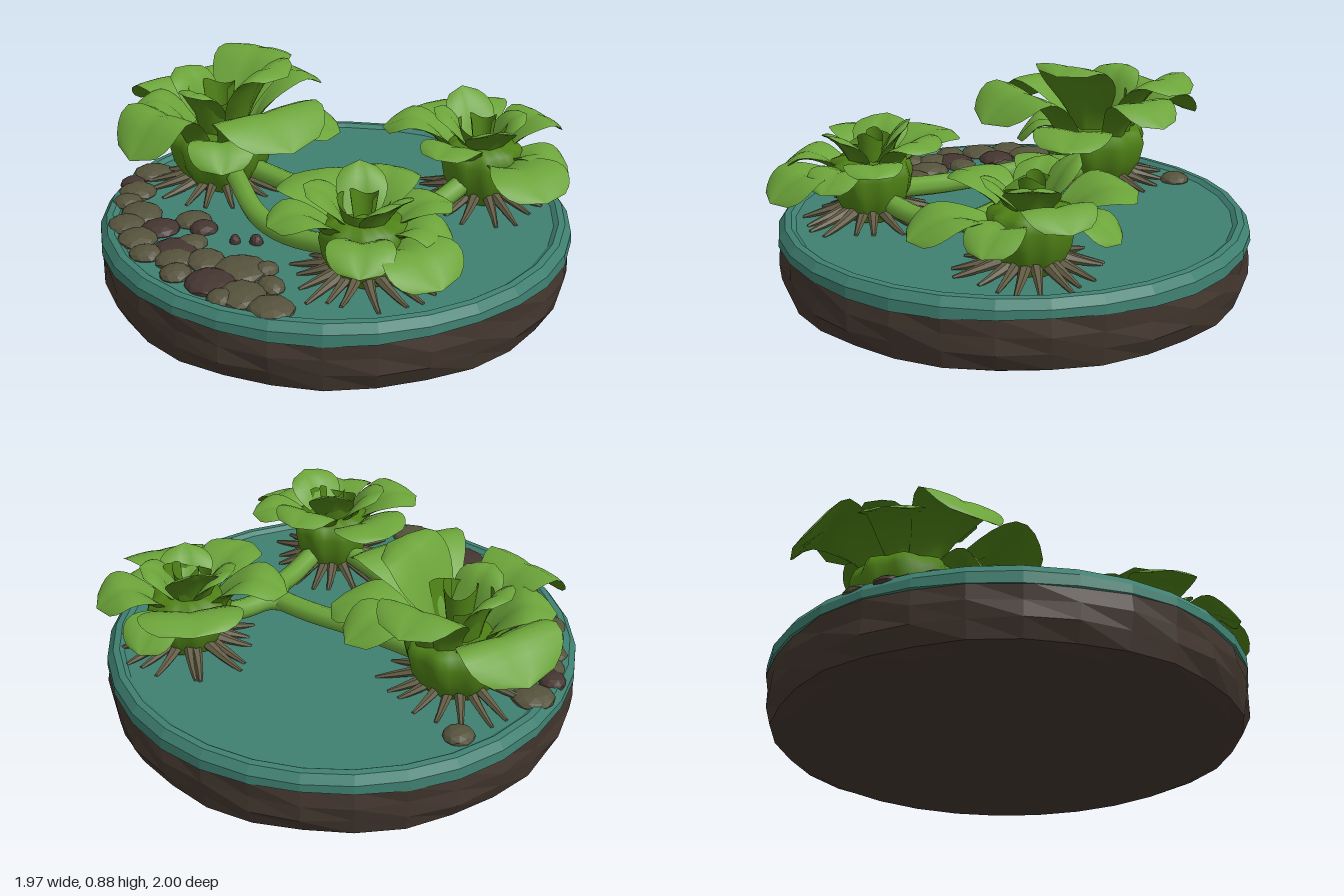
import * as THREE from 'three';

const mat = (name, color, extra = {}) => {
  const m = new THREE.MeshStandardMaterial({ color, ...extra });
  m.name = name;
  return m;
};

export function createModel() {
  const root = new THREE.Group();
  root.name = 'pondPlants';
  const leafMat = mat('leafGreen', 0x6ca43a);
  const stemMat = mat('stemGreen', 0x4f8216, { side: THREE.DoubleSide });
  const waterMat = mat('waterTeal', 0x3f8071, { flatShading: true });
  const soilMat = mat('soilBrown', 0x43372f, { flatShading: true });
  const rootMat = mat('rootOlive', 0x625c44, { flatShading: true });
  const pebbleMat = mat('pebbleOlive', 0x55523c, { flatShading: true });
  const darkMat = mat('pebbleBrown', 0x443530, { flatShading: true });

  let seed = 7;
  const rnd = () => (seed = (seed * 16807) % 2147483647) / 2147483647;
  const add = (parent, name, geo, material) => {
    const m = new THREE.Mesh(geo, material);
    m.name = name;
    parent.add(m);
    return m;
  };
  const lathe = (pts, n) => new THREE.LatheGeometry(pts.map(p => new THREE.Vector2(...p)), n);

  // Move every vertex of a geometry by a rule
  const warp = (geo, rule) => {
    const p = geo.attributes.position, v = new THREE.Vector3();
    for (let i = 0; i < p.count; i++) {
      rule(v.fromBufferAttribute(p, i));
      p.setXYZ(i, v.x, v.y, v.z);
    }
    geo.computeVertexNormals();
    return geo;
  };

  // Round dish: soil below, water with a raised rim above
  const soil = lathe([[0, 0], [0.9, 0], [0.955, 0.025], [0.982, 0.1], [0.985, 0.17], [0.982, 0.245]], 30);
  add(root, 'soil', warp(soil, v => {
    const a = Math.atan2(v.z, v.x), s = 1 + 0.008 * Math.sin(a * 9 + v.y * 30);
    if (v.y > 0.01) { v.x *= s; v.z *= s; }
  }), soilMat);
  const water = lathe([[0.97, 0.235], [0.99, 0.238], [0.988, 0.28], [0.962, 0.315], [0.935, 0.318],
    [0.915, 0.303], [0.6, 0.305], [0.3, 0.308], [0, 0.306]], 30);
  add(root, 'water', warp(water, v => {
    const a = Math.atan2(v.z, v.x);
    if (v.y < 0.245) v.y += 0.008 * Math.sin(a * 5);
  }), waterMat);

  // Leaf: two curved sheets along an arching midrib, light above and darker below
  const leafGeo = (reach, width, yBase, yPeak, yTip, r0) => {
    const mid = new THREE.CatmullRomCurve3([
      new THREE.Vector3(r0, yBase, 0),
      new THREE.Vector3(r0 + (reach - r0) * 0.2, yBase + (yPeak - yBase) * 0.62, 0),
      new THREE.Vector3(r0 + (reach - r0) * 0.58, yPeak, 0),
      new THREE.Vector3(reach, yTip, 0)]);
    const N = 14, M = 10, pos = [], idx = [];
    for (const face of [1, -1]) for (let i = 0; i <= N; i++) {
      const t = i / N, c = mid.getPointAt(t), d = mid.getTangentAt(t);
      const round = t > 0.68 ? Math.sqrt(Math.max(0, 1 - ((t - 0.68) / 0.32) ** 2)) : 1;
      const half = width / 2 * round * (0.42 + 0.58 * THREE.MathUtils.smoothstep(t, 0.2, 0.68));
      for (let j = 0; j <= M; j++) {
        const s = j / M * 2 - 1;
        const cup = s * s * (0.06 * (1 - t) - 0.022 * t * round) - 0.008 * Math.exp(-s * s * 30) * round;
        const lift = cup + face * 0.013 * Math.sqrt(1 - s * s) * round;
        pos.push(c.x - d.y * lift, c.y + d.x * lift, s * half);
      }
    }
    for (let f = 0; f < 2; f++) for (let i = 0; i < N; i++) for (let j = 0; j < M; j++) {
      const a = f * (N + 1) * (M + 1) + i * (M + 1) + j, b = a + 1, c = a + M + 1, d = c + 1;
      idx.push(...(f ? [a, c, b, b, c, d] : [a, b, c, b, d, c]));
    }
    const g = new THREE.BufferGeometry();
    g.setAttribute('position', new THREE.Float32BufferAttribute(pos, 3));
    g.setIndex(idx);
    g.addGroup(0, N * M * 6, 0);
    g.addGroup(N * M * 6, N * M * 6, 1);
    g.computeVertexNormals();
    return g;
  };

  // One rosette plant; leaves are [tip x, tip z, width, peak y, tip y]
  const plant = (name, cx, cz, size, topY, leaves) => {
    const g = new THREE.Group();
    g.name = name;
    g.position.set(cx, 0, cz);
    root.add(g);

    // Ribbed crown and rolled heart leaves
    const crown = lathe([[0.11, 0.31], [0.14, 0.36], [0.17, 0.42], [0.185, 0.5], [0.17, 0.55], [0.1, 0.57], [0, 0.54]]
      .map(([r, y]) => [r * size, y]), 36);
    add(g, 'crown', warp(crown, v => {
      const s = 1 + 0.06 * Math.cos(Math.atan2(v.z, v.x) * 9);
      v.x *= s; v.z *= s;
    }), stemMat);
    [[0.045, 0, 0.02], [0.085, 2.4, 0.05]].forEach(([r, turn, drop]) => {
      const roll = new THREE.CylinderGeometry(r * 1.35 * size, r * size * 0.7, topY - 0.5, 16, 3, true, turn, 4.6);
      const m = add(g, 'heartLeaf', warp(roll, v => {
        v.y += 0.02 * Math.sin(Math.atan2(v.z, v.x) * 2);
      }), stemMat);
      m.position.y = (topY + 0.5) / 2 - drop - 0.02;
    });

    leaves.forEach(([tx, tz, w, yPeak, yTip], i) => {
      const dx = tx - cx, dz = tz - cz, reach = Math.hypot(dx, dz);
      const r0 = Math.min(0.12 * size, reach * 0.25);
      const m = add(g, 'leaf' + (i + 1), leafGeo(reach, w, 0.42, yPeak, yTip, r0), [leafMat, stemMat]);
      m.rotation.y = -Math.atan2(dz, dx);
    });

    // Fan of tapering roots gripping the surface
    const count = 18;
    for (let i = 0; i < count; i++) {
      const len = (0.25 + rnd() * 0.07) * (0.7 + size * 0.3), bend = (rnd() - 0.5) * 0.05;
      const geo = new THREE.CylinderGeometry(0.008, 0.03, 1, 6, 4);
      const m = add(g, 'root', warp(geo, v => {
        const t = v.y + 0.5, h = -v.x;
        v.set(0.07 + (len - 0.07) * t, 0.375 - 0.07 * t ** 0.8 + h, v.z + bend * t * t);
      }), rootMat);
      m.rotation.y = (i + rnd() * 0.4) / count * Math.PI * 2;
    }
  };

  plant('backPlant', -0.25, -0.53, 1.15, 0.8, [
    [-0.28, -1.0, 0.45, 0.7, 0.57], [0.15, -0.76, 0.36, 0.81, 0.77], [0.27, -0.56, 0.28, 0.74, 0.67],
    [0.13, -0.16, 0.34, 0.62, 0.58], [-0.23, 0.04, 0.5, 0.75, 0.64], [-0.75, -0.4, 0.36, 0.72, 0.57],
    [-0.58, -0.72, 0.28, 0.69, 0.65], [-0.08, -0.24, 0.38, 0.87, 0.85], [-0.42, -0.22, 0.28, 0.58, 0.49],
    [-0.35, -0.74, 0.26, 0.78, 0.79], [-0.45, -0.45, 0.22, 0.76, 0.77]]);
  plant('frontPlant', -0.23, 0.55, 0.92, 0.7, [
    [-0.3, 0.15, 0.34, 0.62, 0.61], [0.05, 0.37, 0.28, 0.66, 0.64], [0.11, 0.66, 0.24, 0.6, 0.58],
    [-0.19, 1.0, 0.36, 0.53, 0.44], [-0.46, 0.86, 0.26, 0.57, 0.5], [-0.61, 0.46, 0.28, 0.62, 0.59],
    [-0.02, 0.84, 0.24, 0.56, 0.5], [-0.41, 0.4, 0.24, 0.66, 0.69], [-0.15, 0.4, 0.2, 0.68, 0.73],
    [-0.19, 0.75, 0.24, 0.66, 0.69]]);
  plant('sidePlant', 0.6, 0.22, 0.92, 0.71, [
    [0.73, -0.17, 0.42, 0.62, 0.6], [0.27, -0.05, 0.26, 0.66, 0.61], [0.24, 0.37, 0.26, 0.63, 0.62],
    [0.55, 0.71, 0.35, 0.55, 0.48], [0.82, 0.53, 0.24, 0.54, 0.47], [0.98, 0.25, 0.29, 0.63, 0.57],
    [0.9, 0.0, 0.24, 0.54, 0.47], [0.45, 0.07, 0.22, 0.67, 0.7], [0.63, 0.03, 0.22, 0.69, 0.75],
    [0.77, 0.3, 0.22, 0.66, 0.68], [0.53, 0.4, 0.22, 0.64, 0.68]]);

  // Runners joining the plants
  [[[-0.17, 0.4, -0.4], [-0.05, 0.37, -0.1], [0.09, 0.36, 0.14], [0.16, 0.36, 0.28]],
    [[0.16, 0.36, 0.28], [0.22, 0.365, 0.29], [0.34, 0.37, 0.27], [0.52, 0.42, 0.24]],
    [[0.16, 0.36, 0.28], [0.11, 0.36, 0.38], [0.0, 0.365, 0.45], [-0.15, 0.4, 0.53]],
    [[-0.28, 0.4, -0.35], [-0.35, 0.36, -0.05], [-0.34, 0.36, 0.17], [-0.26, 0.4, 0.45]]].forEach(pts => {
    const path = new THREE.CatmullRomCurve3(pts.map(p => new THREE.Vector3(...p)));
    add(root, 'runner', new THREE.TubeGeometry(path, 14, 0.044, 8), leafMat);
  });
  add(root, 'runnerJoint', new THREE.SphereGeometry(0.05, 10, 8), leafMat).position.set(0.16, 0.36, 0.28);

  // Flat pebbles: [x, z, radius]
  const pebbles = (name, list, material) => list.forEach(([x, z, r]) => {
    const m = add(root, name, new THREE.IcosahedronGeometry(r, 1), material);
    m.scale.set(0.9 + rnd() * 0.25, 0.035 / r, 0.9 + rnd() * 0.25);
    m.rotation.y = rnd() * 6;
    m.position.set(x, 0.308, z);
  });
  pebbles('pebble', [[-0.8, -0.36, 0.08], [-0.7, -0.42, 0.09], [-0.82, -0.22, 0.08], [-0.85, -0.08, 0.07],
    [-0.78, 0.03, 0.08], [-0.68, 0.1, 0.08], [-0.83, 0.13, 0.07], [-0.6, 0.24, 0.11], [-0.7, 0.42, 0.1],
    [-0.66, 0.57, 0.1], [-0.52, 0.3, 0.05], [-0.78, 0.4, 0.06], [-0.66, -0.06, 0.07], [-0.55, -0.24, 0.07],
    [-0.57, 0.42, 0.06], [-0.62, -0.62, 0.08], [-0.7, -0.55, 0.07], [-0.08, -0.84, 0.07], [-0.47, -0.76, 0.08]], pebbleMat);
  pebbles('darkPebble', [[-0.74, -0.05, 0.1], [-0.75, 0.27, 0.11], [-0.7, -0.25, 0.08], [-0.55, -0.15, 0.06],
    [-0.6, -0.7, 0.06], [-0.43, 0.07, 0.03], [-0.5, 0.02, 0.025]], darkMat);

  return root;
}
